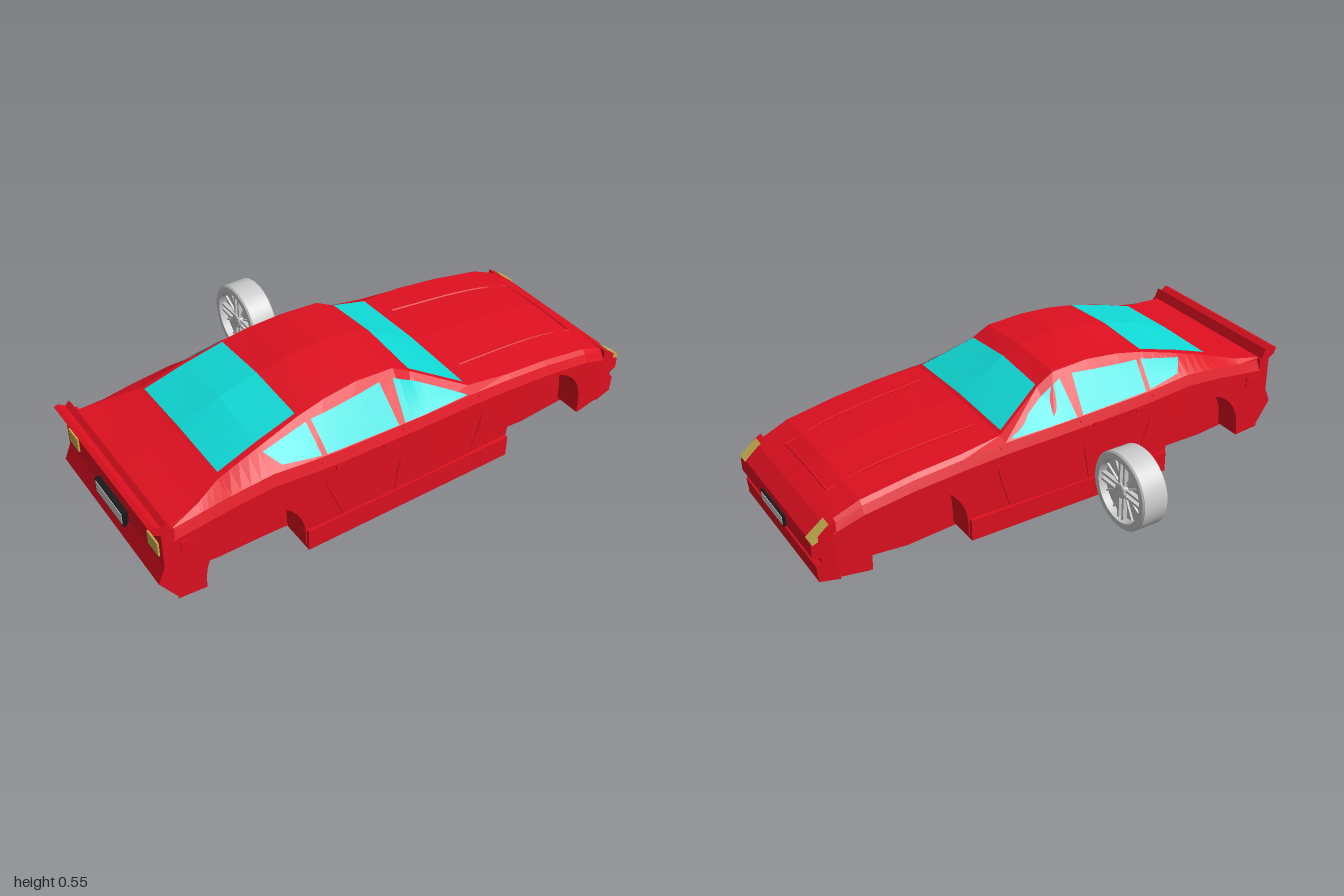
import * as THREE from 'three';
import { toCreasedNormals } from 'three/addons/utils/BufferGeometryUtils.js';

const paint = (color, side = THREE.FrontSide) =>
  new THREE.MeshStandardMaterial({ color, flatShading: true, side });
const red = paint(0xe01020), glass = paint(0x10dcd8, THREE.DoubleSide);
const black = paint(0x1a1a1a), amber = paint(0xc8b050), grey = paint(0xcccccc);
const grey2 = new THREE.MeshStandardMaterial({ color: 0xcccccc });

// Stations: x, floor, side bottom, half width, belt height, roof edge half width, roof edge height, centre height
const stations = [
  [-0.93, .065, .07, .35, .36, .33, .375, .375],
  [-0.82, .05, .06, .35, .375, .31, .39, .395],
  [-0.72, .04, .05, .352, .39, .27, .415, .42],
  [-0.56, .04, .05, .355, .405, .26, .465, .485],
  [-0.41, .035, .05, .362, .395, .245, .505, .52],
  [-0.3, .03, .05, .365, .39, .237, .525, .545],
  [-0.17, .03, .05, .365, .385, .23, .535, .555],
  [-0.02, .03, .05, .365, .38, .23, .525, .54],
  [0.05, .03, .05, .365, .378, .235, .485, .505],
  [0.25, .03, .05, .36, .37, .31, .385, .395],
  [0.42, .02, .04, .355, .355, .325, .37, .38],
  [0.6, .005, .04, .35, .335, .32, .35, .365],
  [0.8, .02, .04, .345, .3, .315, .315, .33],
  [0.91, .04, .05, .335, .255, .31, .27, .28],
];
const arches = [-0.64, 0.6], archR = 0.185, archY = 0.1;

function at(x) {
  let i = 0;
  while (i < stations.length - 2 && x > stations[i + 1][0]) i++;
  const a = stations[i], b = stations[i + 1], t = (x - a[0]) / (b[0] - a[0]);
  return a.map((v, k) => v + (b[k] - v) * t);
}
// Height of the upper skin and half width of the side skin
function topY(x, z) {
  const s = at(x);
  return s[7] + (s[6] - s[7]) * Math.abs(z) / s[5];
}
function sideZ(x, y) {
  const [, , , w, belt, zE, yE] = at(x), low = belt * 0.9;
  if (y < low) return w;
  if (y < belt) return w - 0.015 * (y - low) / (belt - low);
  return w - 0.015 + (zE - w + 0.015) * (y - belt) / (yE - belt);
}

// Surface over a grid of points; closes the loop when asked
function skin(rows, closed) {
  const n = rows[0].length, index = [];
  for (let i = 0; i < rows.length - 1; i++)
    for (let j = 0; j < (closed ? n : n - 1); j++) {
      const k = (j + 1) % n, a = i * n + j, b = a + n, c = (i + 1) * n + k, d = i * n + k;
      index.push(a, b, c, a, c, d);
    }
  const g = new THREE.BufferGeometry();
  g.setAttribute('position', new THREE.Float32BufferAttribute(rows.flat(2), 3));
  g.setIndex(index);
  g.computeVertexNormals();
  return g;
}

// Body shell with wheel wells
function bodyGeometry() {
  const xs = stations.map(s => s[0]);
  for (const c of arches) {
    xs.push(c - archR - 0.001, c + archR + 0.001);
    for (let i = 0; i <= 16; i++) xs.push(c - archR * Math.cos(Math.PI * i / 16));
  }
  xs.sort((a, b) => a - b);
  const rows = xs.map(x => {
    const [, floor, bottom, w, belt, zE, yE, yT] = at(x);
    let well = bottom;
    for (const c of arches) {
      const u = (x - c) / archR;
      if (Math.abs(u) < 1.0001) well = archY + archR * Math.sqrt(Math.max(0, 1 - u * u));
    }
    const half = [[0, floor], [.24, floor], [.24, well], [w, well],
      [w, belt * 0.9], [w - .015, belt], [zE, yE], [0, yT]];
    const ring = half.map(([z, y]) => [x, y, z]);
    for (let j = 6; j > 0; j--) ring.push([x, half[j][1], -half[j][0]]);
    return ring;
  });
  return skin(rows, true);
}

// Four-cornered patch laid on the skin by a mapping rule
function patch(corners, rule, n = 10) {
  const [a, b, c, d] = corners, rows = [];
  for (let i = 0; i <= n; i++) {
    const row = [];
    for (let j = 0; j <= n; j++) {
      const u = i / n, v = j / n;
      const p = k => (a[k] * (1 - u) + b[k] * u) * (1 - v) + (d[k] * (1 - u) + c[k] * u) * v;
      row.push(rule(p(0), p(1)));
    }
    rows.push(row);
  }
  return skin(rows, false);
}

// Side profile extruded across the car
function slab(points, width) {
  const shape = new THREE.Shape(points.map(p => new THREE.Vector2(...p)));
  return new THREE.ExtrudeGeometry(shape, { depth: width, bevelEnabled: false }).translate(0, 0, -width / 2);
}
const line = (pts, r) => new THREE.TubeGeometry(
  new THREE.CatmullRomCurve3(pts.map(p => new THREE.Vector3(...p))), 16, r, 5);

function add(parent, name, geometry, material, x = 0, y = 0, z = 0) {
  const mesh = new THREE.Mesh(geometry, material);
  mesh.name = name;
  mesh.position.set(x, y, z);
  parent.add(mesh);
  return mesh;
}

function createWheel() {
  const wheel = new THREE.Group();
  wheel.name = 'spareWheel';
  const profile = [[0, -.025], [.114, -.025], [.12, -.053], [.142, -.053], [.148, -.047],
    [.148, .047], [.142, .053], [.12, .053], [.114, .025], [0, .025]].map(p => new THREE.Vector2(...p));
  add(wheel, 'tyreAndRim', toCreasedNormals(new THREE.LatheGeometry(profile, 48), 0.5), grey2);
  add(wheel, 'hub', new THREE.CylinderGeometry(.022, .022, .096, 20), grey);
  for (const s of [-1, 1])
    add(wheel, 'hubRing', new THREE.TorusGeometry(.024, .006, 6, 20).rotateX(Math.PI / 2), grey, 0, s * .042, 0);
  for (let i = 0; i < 4; i++) {
    const arm = new THREE.Group();
    arm.rotation.y = i * Math.PI / 2;
    // Paired bars of the main cross, with finer spokes between
    for (const s of [-1, 1]) {
      add(arm, 'spokeBar', new THREE.BoxGeometry(.096, .084, .01), grey, .072, 0, s * .013);
      add(arm, 'thinSpoke', new THREE.BoxGeometry(.2, .066, .005).translate(.02, 0, 0), grey)
        .rotation.y = Math.PI / 4 + s * 0.28;
    }
    wheel.add(arm);
  }
  wheel.rotation.z = -Math.PI / 2;
  wheel.position.set(-0.0775, 0.238, -0.437);
  return wheel;
}

function createCar() {
  const car = new THREE.Group();
  car.name = 'car';
  car.position.z = 0.21;
  add(car, 'bodyShell', bodyGeometry(), red);
  add(car, 'sideSkirts', slab([[-.45, .03], [.41, .03], [.41, .115], [-.45, .115]], .744), red);

  // Nose and tail, the nose narrowing towards the front
  const nose = slab([[.9, .04], [.975, .05], [.98, .115], [.96, .125], [.96, .145], [.99, .155],
    [.99, .2], [.985, .215], [.93, .262], [.9, .277]], .67);
  const p = nose.attributes.position;
  for (let i = 0; i < p.count; i++) p.setZ(i, p.getZ(i) * (1 - (p.getX(i) - .9) * 0.4));
  nose.computeVertexNormals();
  add(car, 'frontBumper', nose, red);
  add(car, 'rearBumper', slab([[-.92, .065], [-.92, .375], [-.965, .37], [-.965, .23], [-.99, .17]], .698), red);
  add(car, 'rearSpoiler', slab([[-.925, .37], [-.945, .412], [-.96, .397], [-.985, .414], [-1, .408],
    [-.99, .385], [-.96, .365]], .698), red);

  // Plates
  for (const [name, x, y, s] of [['frontPlate', .99, .175, 1], ['rearPlate', -.974, .24, -1]]) {
    add(car, name + 'Frame', new THREE.BoxGeometry(.02, s > 0 ? .042 : .06, .205), black, x, y, 0);
    add(car, name, new THREE.BoxGeometry(.004, s > 0 ? .032 : .045, .19), grey, x + s * .01, y, 0);
  }

  // Front and rear glass
  const onTop = (x, z) => [x, topY(x, z) + .005, z];
  add(car, 'windscreen', patch([[.05, -.225], [.05, .225], [.24, .295], [.24, -.295]], onTop), glass);
  add(car, 'rearWindow', patch([[-.71, -.25], [-.71, .25], [-.41, .232], [-.41, -.232]], onTop), glass);

  // Bonnet ridges
  const ridge = (a, b) => line([0, .25, .5, .75, 1].map(t => {
    const x = a[0] + (b[0] - a[0]) * t, z = a[1] + (b[1] - a[1]) * t;
    return [x, topY(x, z) + .001, z];
  }), .005);
  add(car, 'bonnetLip', ridge([.86, -.18], [.86, .18]), red);

  for (const s of [1, -1]) {
    add(car, 'bonnetRidge', ridge([.3, s * .2], [.86, s * .18]), red);
    // Side windows
    const onSide = (x, y) => [x, y, s * (sideZ(x, y) + .005)];
    const panes = [
      ['quarterGlass', [[-.52, .418], [-.38, .4], [-.39, .49], [-.56, .455]]],
      ['rearDoorGlass', [[-.36, .398], [-.075, .386], [-.09, .51], [-.37, .492]]],
      ['frontDoorGlass', [[-.05, .385], [.22, .376], [.22, .378], [-.035, .505]]],
    ];
    for (const [name, corners] of panes) add(car, name, patch(corners, onSide), glass);

    // Door seams and handles
    const seams = [[[.27, .36], [.285, .28], [.245, .12]], [[-.06, .37], [-.075, .25], [-.095, .12]],
      [[-.385, .38], [-.37, .28], [-.305, .12]]];
    for (const seam of seams)
      add(car, 'doorSeam', line(seam.map(([x, y]) => [x, y, s * sideZ(x, y)]), .003), red);
    for (const x of [-.32, -.13])
      add(car, 'doorHandle', new THREE.BoxGeometry(.035, .014, .01), red, x, .34, s * sideZ(x, .34));

    // Lamps
    add(car, 'headlight', slab([[.922, .27], [.935, .222], [.985, .205], [.991, .217]], .045), amber, 0, 0, s * .304);
    add(car, 'tailLight', new THREE.BoxGeometry(.012, .055, .07), amber, -.965, .29, s * .29);
    add(car, 'sideMarker', new THREE.BoxGeometry(.05, .04, .008), red, -.88, .29, s * .35);
  }
  return car;
}

export function createModel() {
  const model = new THREE.Group();
  model.name = 'sportsCarWithWheel';
  model.add(createCar(), createWheel());
  return model;
}
